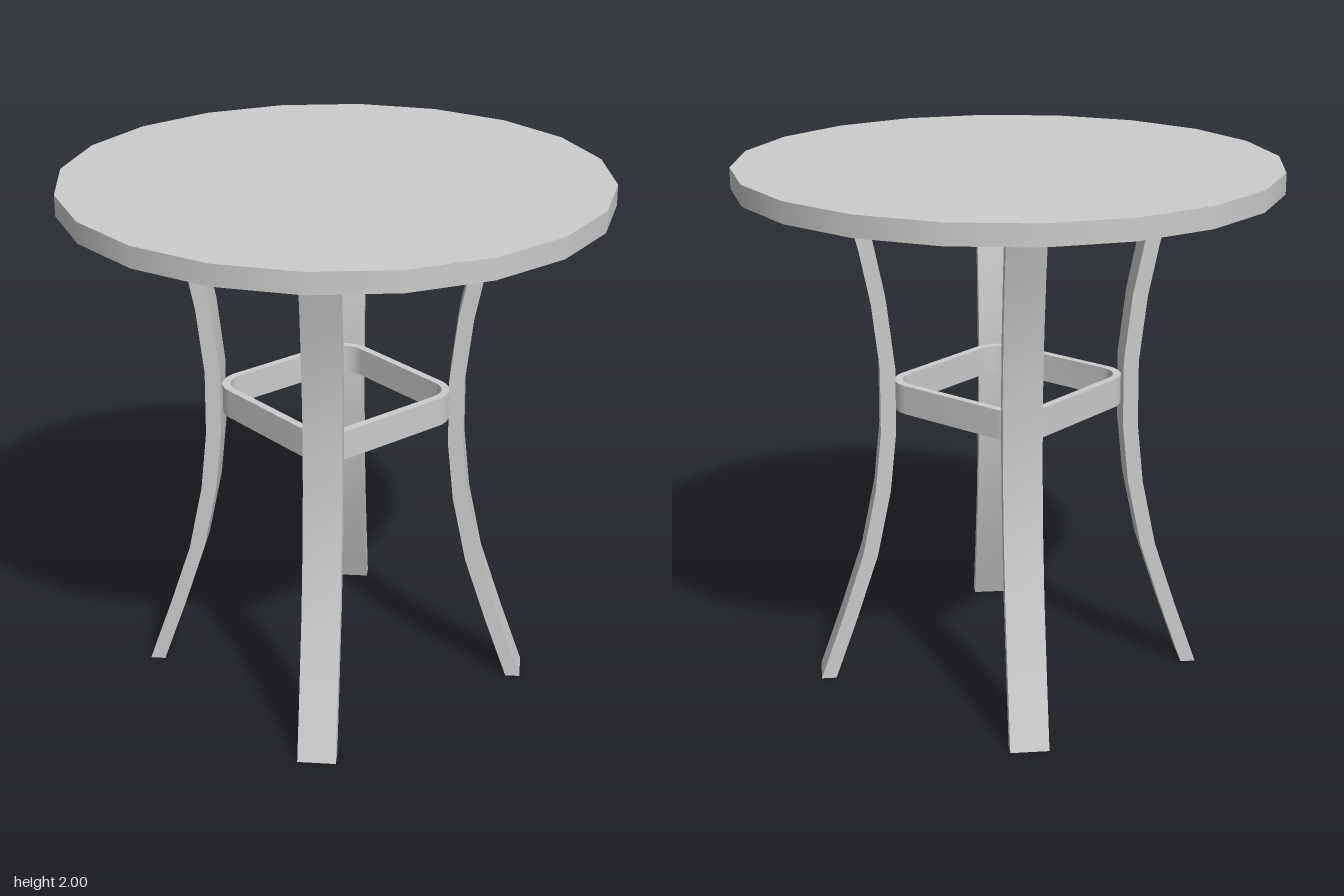
import * as THREE from 'three';
import { toCreasedNormals } from 'three/addons/utils/BufferGeometryUtils.js';

const material = new THREE.MeshStandardMaterial({ color: 0xcccccc });

// Leg centre line: [distance from the axis, height]
const LEG_PATH = [
  [0.708, 0], [0.62, 0.25], [0.535, 0.51], [0.481, 0.77], [0.457, 1.0],
  [0.455, 1.25], [0.483, 1.5], [0.523, 1.7], [0.574, 1.9],
];
const LEG_WIDTH = 0.142;
const LEG_THICKNESS = 0.057;

function legGeometry() {
  const h = LEG_THICKNESS / 2;
  const inner = LEG_PATH.map(([r, y]) => new THREE.Vector2(r - h, y));
  const outer = LEG_PATH.map(([r, y]) => new THREE.Vector2(r + h, y));
  const shape = new THREE.Shape([...outer, ...inner.reverse()]);
  const geo = new THREE.ExtrudeGeometry(shape, { depth: LEG_WIDTH, bevelEnabled: false });
  geo.translate(0, 0, -LEG_WIDTH / 2);
  return toCreasedNormals(geo, 0.5);
}

// Square outline with rounded corners, half side a and corner radius r
function roundedSquare(path, a, r) {
  for (let i = 0; i < 4; i++) {
    const start = (i * Math.PI) / 2;
    const mid = start + Math.PI / 4;
    const d = (a - r) * Math.SQRT2;
    path.absarc(Math.cos(mid) * d, Math.sin(mid) * d, r, start, start + Math.PI / 2, false);
  }
  path.closePath();
  return path;
}

export function createModel() {
  const group = new THREE.Group();
  const add = (name, geometry) => {
    const mesh = new THREE.Mesh(geometry, material);
    mesh.name = name;
    group.add(mesh);
    return mesh;
  };

  // Twenty-sided top with flats facing the axes
  const top = add('tabletop', new THREE.CylinderGeometry(1, 1, 0.077, 20));
  top.position.y = 1.9615;
  top.rotation.y = Math.PI / 20;

  // Four curved legs on the diagonals
  const leg = legGeometry();
  ['backLeftLeg', 'backRightLeg', 'frontRightLeg', 'frontLeftLeg'].forEach((name, i) => {
    add(name, leg).rotation.y = Math.PI / 4 + (i * Math.PI) / 2;
  });

  // Rounded square stretcher held between the legs
  const ring = roundedSquare(new THREE.Shape(), 0.337, 0.12);
  ring.holes.push(roundedSquare(new THREE.Path(), 0.307, 0.09));
  const ringGeo = new THREE.ExtrudeGeometry(ring, { depth: 0.11, bevelEnabled: false, curveSegments: 6 });
  ringGeo.rotateX(-Math.PI / 2);
  add('stretcherRing', toCreasedNormals(ringGeo, 0.5)).position.y = 1.077;

  return group;
}
